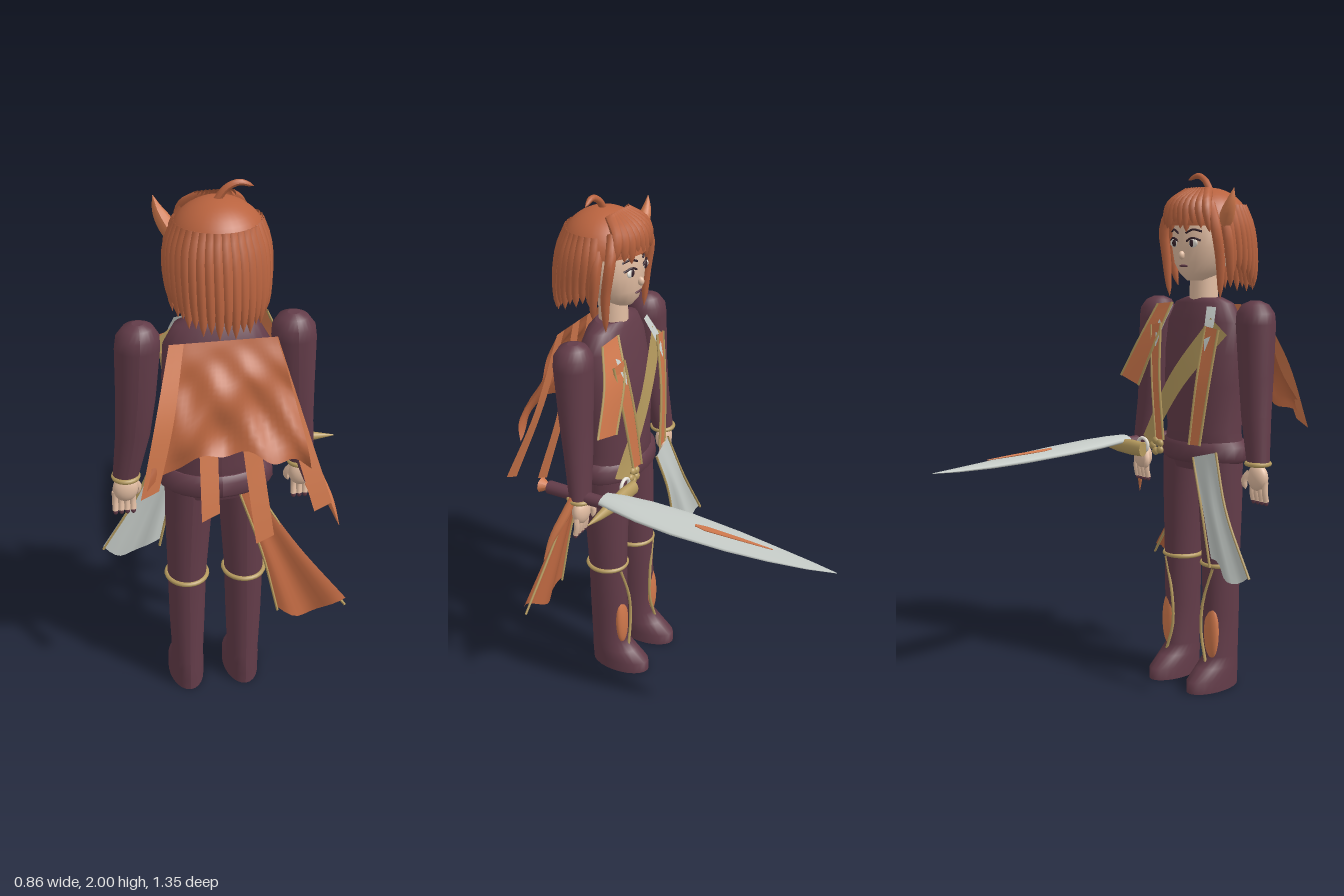
import * as THREE from 'three';

const flat = (name, hex, side = THREE.DoubleSide) => {
  const m = new THREE.MeshStandardMaterial({ color: hex, side });
  m.name = name;
  return m;
};
const V = (p) => new THREE.Vector3(...p);
const CX = -0.035; // body centre line

export function createModel() {
  const root = new THREE.Group();
  root.name = 'swordFighter';
  const plum = flat('plum', 0x633c49), hair = flat('hair', 0xb9633f), cloth = flat('rustCloth', 0xb9653f);
  const orange = flat('orange', 0xd0784c), gold = flat('gold', 0xb59a5e), silver = flat('silver', 0xc6ccc8);
  const skin = flat('skin', 0xe2bda2), dark = flat('dark', 0x35222a), cream = flat('cream', 0xe9e4da);

  const add = (name, geo, mat, pos = [0, 0, 0], scale = [1, 1, 1]) => {
    const m = new THREE.Mesh(geo, mat);
    m.name = name;
    m.position.set(...pos);
    m.scale.set(...scale);
    root.add(m);
    return m;
  };
  const ball = (name, mat, pos, scale) => add(name, new THREE.SphereGeometry(1, 20, 14), mat, pos, scale);

  // Stacked ellipses, listed from the top down as [y, x, z, radiusX, radiusZ]
  const loft = (secs, sides = 24) => {
    const g = new THREE.CylinderGeometry(1, 1, 1, sides, secs.length - 1);
    const p = g.attributes.position;
    for (let i = 0; i < p.count; i++) {
      const s = secs[Math.round((0.5 - p.getY(i)) * (secs.length - 1))];
      p.setXYZ(i, s[1] + p.getX(i) * s[3], s[0], s[2] + p.getZ(i) * s[4]);
    }
    g.computeVertexNormals();
    return g;
  };

  // Tube along a curve whose radius follows a rule
  const strand = (name, mat, pts, radius, seg = 10, sides = 8) => {
    const c = new THREE.CatmullRomCurve3(pts.map(V));
    const g = new THREE.TubeGeometry(c, seg, 1, sides);
    const p = g.attributes.position, v = new THREE.Vector3();
    for (let i = 0; i < p.count; i++) {
      const t = Math.floor(i / (sides + 1)) / seg, o = c.getPointAt(t);
      v.fromBufferAttribute(p, i).sub(o).multiplyScalar(radius(t)).add(o);
      p.setXYZ(i, v.x, v.y, v.z);
    }
    g.computeVertexNormals();
    return add(name, g, mat);
  };
  const taper = (r) => (t) => r * Math.sqrt(Math.max(0.001, 1 - t * t * t));

  // Cloth between a left and a right edge, with an optional ripple rule
  const sheet = (name, mat, left, right, ripple, trim, nu = 10, nv = 14) => {
    const a = new THREE.CatmullRomCurve3(left.map(V)), b = new THREE.CatmullRomCurve3(right.map(V));
    const g = new THREE.PlaneGeometry(1, 1, nu, nv), p = g.attributes.position;
    for (let i = 0; i < p.count; i++) {
      const u = p.getX(i) + 0.5, t = 0.5 - p.getY(i);
      const v = a.getPoint(t).lerp(b.getPoint(t), u);
      if (ripple) ripple(v, u, t);
      p.setXYZ(i, v.x, v.y, v.z);
    }
    g.computeVertexNormals();
    add(name, g, mat);
    if (trim) for (const e of [left, right]) strand(name + 'Trim', gold, e, () => 0.005, 12, 6);
  };

  // Torso, belt and neck
  add('torso', loft([[1.53, CX, 0.38, 0.08, 0.055], [1.51, CX, 0.38, 0.14, 0.07], [1.44, CX, 0.385, 0.18, 0.09],
    [1.32, CX, 0.385, 0.185, 0.115], [1.2, CX, 0.385, 0.18, 0.125], [1.02, CX, 0.385, 0.165, 0.12],
    [0.95, CX, 0.385, 0.18, 0.12], [0.87, CX, 0.385, 0.18, 0.095]]), plum);
  add('belt', loft([[0.985, CX, 0.39, 0.175, 0.12], [0.965, CX, 0.39, 0.198, 0.137], [0.92, CX, 0.39, 0.202, 0.14],
    [0.9, CX, 0.39, 0.18, 0.12]]), plum);
  add('neck', new THREE.CylinderGeometry(0.052, 0.056, 0.14, 20), skin, [CX, 1.575, 0.375]);

  for (const s of [-1, 1]) {
    const X = (x) => CX + s * x;
    // Legs with boots
    add('leg', loft([[0.93, X(0.09), 0.38, 0.09, 0.092], [0.75, X(0.098), 0.38, 0.082, 0.088], [0.5, X(0.105), 0.38, 0.07, 0.078],
      [0.3, X(0.106), 0.382, 0.065, 0.078], [0.13, X(0.106), 0.385, 0.058, 0.077], [0.09, X(0.106), 0.365, 0.063, 0.1],
      [0.045, X(0.106), 0.338, 0.066, 0.127], [0, X(0.106), 0.337, 0.066, 0.127]]), plum);
    const band = add('kneeBand', new THREE.TorusGeometry(0.073, 0.009, 8, 28), gold, [X(0.105), 0.5, 0.382], [1, 1.06, 1]);
    band.rotation.x = Math.PI / 2;
    ball('shinPanel', orange, [X(0.118), 0.23, 0.318], [0.036, 0.11, 0.02]);
    strand('shinTrim', gold, [[X(0.13), 0.49, 0.308], [X(0.085), 0.34, 0.3], [X(0.08), 0.22, 0.3], [X(0.11), 0.11, 0.295]], () => 0.006);

    // Arms, cuffs and hands
    add('arm', loft([[1.525, X(0.258), 0.385, 0.02, 0.02], [1.512, X(0.258), 0.385, 0.05, 0.05], [1.48, X(0.26), 0.385, 0.072, 0.07],
      [1.44, X(0.262), 0.385, 0.076, 0.073], [1.25, X(0.272), 0.38, 0.068, 0.062], [1.1, X(0.285), 0.37, 0.06, 0.052],
      [0.93, X(0.312), 0.355, 0.046, 0.04]]), plum);
    const cuff = add('cuff', new THREE.TorusGeometry(0.043, 0.009, 8, 24), gold, [X(0.312), 0.925, 0.355]);
    cuff.rotation.x = Math.PI / 2;
    ball('palm', skin, [X(0.315), 0.872, 0.352], [0.045, 0.052, 0.03]);
    for (let i = 0; i < 4; i++) {
      const x = X(0.29 + i * 0.021);
      strand('finger', skin, [[x, 0.86, 0.352], [x, 0.82, 0.35], [x, 0.785, 0.358]], () => 0.011, 6);
      ball('nail', plum, [x, 0.782, 0.359], [0.009, 0.014, 0.009]);
    }
    strand('thumb', skin, [[X(0.285), 0.89, 0.34], [X(0.268), 0.86, 0.33], [X(0.275), 0.825, 0.33]], taper(0.014), 6);

    // Chest strips and collar plumes
    sheet('chestStrip', orange, [[X(0.12), 1.43, 0.262], [X(0.1), 1.22, 0.238], [X(0.07), 0.98, 0.232]],
      [[X(0.18), 1.42, 0.27], [X(0.155), 1.22, 0.25], [X(0.12), 0.98, 0.238]], null, true);
    sheet('collarPlume', silver, [[X(0.09), 1.5, 0.3], [X(0.11), 1.42, 0.268], [X(0.13), 1.34, 0.246]],
      [[X(0.13), 1.5, 0.31], [X(0.15), 1.42, 0.272], [X(0.135), 1.34, 0.246]]);

    // Face side features
    ball('ear', skin, [X(0.12), 1.705, 0.385], [0.014, 0.03, 0.021]);
    ball('earring', gold, [X(0.13), 1.655, 0.38], [0.01, 0.014, 0.01]);
    ball('eyeWhite', cream, [X(0.048), 1.735, 0.266], [0.024, 0.016, 0.007]);
    ball('iris', dark, [X(0.046), 1.735, 0.262], [0.011, 0.014, 0.006]);
    strand('lash', dark, [[X(0.022), 1.742, 0.258], [X(0.048), 1.754, 0.26], [X(0.078), 1.745, 0.276]], () => 0.004);
    strand('brow', dark, [[X(0.02), 1.772, 0.256], [X(0.05), 1.785, 0.264], [X(0.08), 1.778, 0.28]], () => 0.004);

    // Long locks framing the face
    strand('sideLock', hair, [[X(0.09), 1.88, 0.31], [X(0.135), 1.8, 0.295], [X(0.143), 1.67, 0.315], [X(0.135), 1.53, 0.325]], taper(0.02));
    strand('sideLock', hair, [[X(0.11), 1.86, 0.35], [X(0.15), 1.77, 0.345], [X(0.152), 1.65, 0.36], [X(0.14), 1.57, 0.375]], taper(0.02));
  }

  // Head
  add('head', loft([[1.88, CX, 0.37, 0.04, 0.04], [1.85, CX, 0.37, 0.095, 0.09], [1.79, CX, 0.37, 0.122, 0.112], [1.72, CX, 0.37, 0.124, 0.113],
    [1.66, CX, 0.362, 0.105, 0.1], [1.62, CX, 0.352, 0.072, 0.078], [1.595, CX, 0.34, 0.035, 0.045]]), skin);
  ball('nose', skin, [CX, 1.69, 0.256], [0.011, 0.016, 0.014]);
  ball('mouth', plum, [CX, 1.65, 0.266], [0.022, 0.005, 0.006]);

  // Hair: cap, back strands, fringe, curl and tuft
  add('hairCap', new THREE.SphereGeometry(1, 32, 12, 0, Math.PI * 2, 0, Math.PI / 2), hair, [CX, 1.8, 0.397], [0.158, 0.142, 0.157]);
  const strands = 23;
  for (let i = 0; i < strands; i++) {
    const a = (i / (strands - 1) - 0.5) * 3.7, sx = Math.sin(a), cz = Math.cos(a);
    const hem = 1.545 + 0.07 * (1 - Math.max(0, cz)) + 0.015 * (i % 2);
    strand('backStrand', hair, [[CX + sx * 0.125, 1.87, 0.397 + cz * 0.125], [CX + sx * 0.15, 1.8, 0.4 + cz * 0.155],
      [CX + sx * 0.155, 1.68, 0.42 + cz * 0.162], [CX + sx * 0.152, hem, 0.425 + cz * 0.168]], taper(0.021));
  }
  for (let i = 0; i < 9; i++) {
    const k = i / 4 - 1;
    strand('fringe', hair, [[CX + k * 0.05, 1.925, 0.34], [CX + k * 0.095, 1.875, 0.262 + 0.025 * k * k],
      [CX + k * 0.12, 1.775 + 0.014 * (i % 3), 0.246 + 0.035 * k * k]], taper(0.021));
  }
  strand('topCurl', hair, [[-0.04, 1.93, 0.4], [-0.01, 1.97, 0.402], [0.03, 1.988, 0.404], [0.078, 1.972, 0.4]], taper(0.013));
  strand('hairTuft', orange, [[-0.165, 1.8, 0.35], [-0.195, 1.85, 0.335], [-0.215, 1.89, 0.33], [-0.228, 1.935, 0.33]],
    (t) => 0.001 + 0.027 * Math.sin(Math.PI * (0.35 + 0.65 * t)));

  // Crumpled back cape and its hanging strips
  sheet('cape', cloth, [[-0.18, 1.5, 0.505], [-0.235, 1.32, 0.57], [-0.31, 1.06, 0.645]],
    [[0.14, 1.5, 0.505], [0.19, 1.32, 0.57], [0.24, 1.08, 0.645]], (v, u, t) => {
      v.z += t * (0.02 * Math.sin(9 * t + 7 * u) + 0.012 * Math.sin(17 * u - 11 * t));
      v.y += t * (0.09 * Math.sin(Math.PI * u) + 0.012 * Math.sin(23 * u));
    }, false, 28, 22);
  for (const [x0, x1, y1, bow] of [[-0.185, -0.3, 1.04, 0.035], [-0.085, -0.1, 0.93, -0.012], [0.015, 0.085, 0.82, -0.012], [0.12, 0.28, 0.93, -0.01]]) {
    const edge = (d) => [[x0 + d * 0.8, 1.5, 0.505], [(x0 + x1) / 2 + d, (1.5 + y1) / 2, 0.575 + bow], [x1 + d, y1 + d * 0.5, 0.662]];
    sheet('backStrip', orange, edge(-0.03), edge(0.03), null, false, 2);
  }

  // Front drape and diagonal sash
  sheet('shoulderDrape', orange, [[0.06, 1.51, 0.3], [0.1, 1.37, 0.255], [0.19, 1.18, 0.242]],
    [[0.15, 1.5, 0.31], [0.21, 1.37, 0.272], [0.3, 1.21, 0.25]], null, true);
  sheet('sash', gold, [[-0.24, 1.4, 0.29], [-0.06, 1.2, 0.245], [0.12, 0.95, 0.242]],
    [[-0.16, 1.46, 0.285], [0.01, 1.24, 0.245], [0.18, 0.98, 0.262]]);

  // Waist cloths
  const wave = (v, u, t) => { v.z += 0.014 * t * Math.sin(u * 9); v.y -= 0.035 * t * Math.sin(u * 5 - 0.4); };
  sheet('paleWaistCloth', silver, [[-0.22, 0.96, 0.26], [-0.3, 0.75, 0.235], [-0.43, 0.52, 0.225]],
    [[-0.11, 0.93, 0.25], [-0.17, 0.75, 0.235], [-0.22, 0.52, 0.235]], wave, true);
  sheet('rustWaistCloth', cloth, [[0.03, 0.9, 0.485], [0.11, 0.65, 0.52], [0.165, 0.41, 0.545]],
    [[0.09, 0.9, 0.48], [0.24, 0.65, 0.515], [0.415, 0.405, 0.55]], wave, true);
  strand('wristRibbon', orange, [[0.3, 0.96, 0.36], [0.335, 0.87, 0.39], [0.375, 0.78, 0.425], [0.405, 0.69, 0.45]],
    (t) => 0.001 + 0.017 * Math.sin(Math.PI * (0.2 + 0.8 * t)));

  // Waist ornament
  add('waistRing', new THREE.TorusGeometry(0.028, 0.007, 8, 24), cream, [0.155, 0.945, 0.235]);
  for (let i = 0; i < 5; i++) {
    const a = i * Math.PI * 0.4;
    ball('buckleBead', gold, [0.08 + 0.022 * Math.cos(a), 0.95 + 0.022 * Math.sin(a), 0.24], [0.016, 0.016, 0.012]);
  }

  // Sword lying level: blade, inlay, guard, grip and pommel
  const lay = (m) => { m.rotation.x = -Math.PI / 2; return m; };
  lay(add('blade', loft([[0.67, 0, 0.93, 0.001, 0.001], [0.57, 0, 0.928, 0.024, 0.006], [0.43, 0, 0.929, 0.047, 0.01],
    [0.28, 0, 0.934, 0.066, 0.013], [0.07, 0, 0.943, 0.079, 0.015], [-0.08, 0, 0.949, 0.071, 0.017],
    [-0.18, 0, 0.953, 0.055, 0.017], [-0.25, 0, 0.953, 0.04, 0.016]], 16), silver, [0.28, 0, 0]));
  lay(add('bladeInlay', loft([[0.43, 0, 0.949, 0.002, 0.002], [0.3, 0, 0.952, 0.009, 0.004], [0.17, 0, 0.954, 0.014, 0.004],
    [0.13, 0, 0.956, 0.006, 0.004]], 12), orange, [0.28, 0, 0]));
  const guard = add('guard', loft([[0.43, 0, 0.01, 0.002, 0.002], [0.36, 0, 0.004, 0.015, 0.014], [0.28, 0, 0, 0.026, 0.022],
    [0.2, 0, 0, 0.031, 0.023], [0.13, 0, -0.004, 0.028, 0.02]], 18), gold, [0, 0.932, 0.216]);
  guard.rotation.z = -Math.PI / 2;
  lay(add('grip', new THREE.CylinderGeometry(0.024, 0.026, 0.25, 16), plum, [0.28, 0.935, 0.365]));
  lay(add('pommel', new THREE.ConeGeometry(0.03, 0.05, 8), orange, [0.28, 0.935, 0.5]));

  return root;
}
